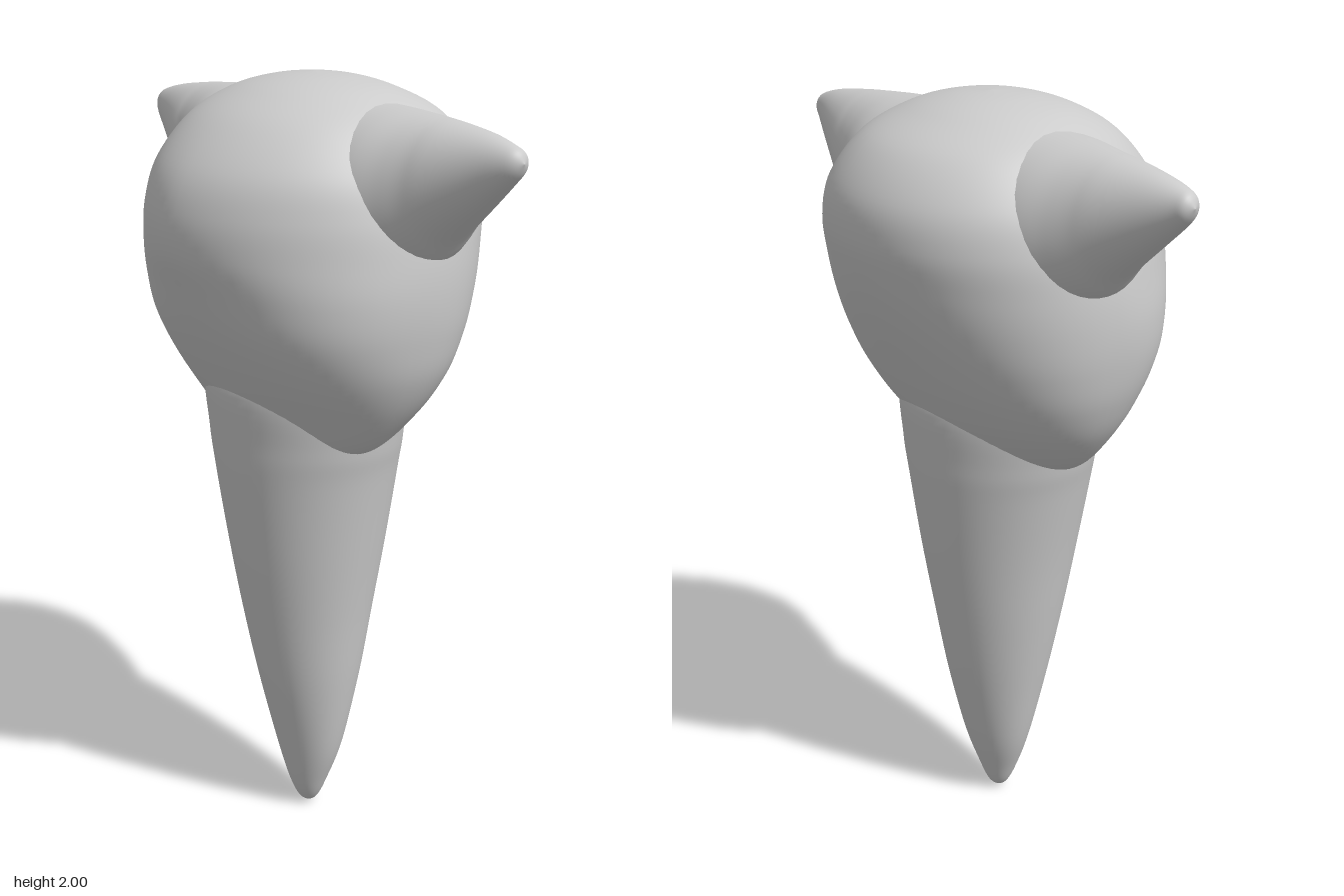
import * as THREE from 'three';

const material = new THREE.MeshStandardMaterial({ color: 0xcccccc });

// Catmull-Rom blend of whole section rows
function sample(rows, t) {
  const s = t * (rows.length - 1);
  const i = Math.min(Math.floor(s), rows.length - 2);
  const f = s - i;
  const at = (k) => rows[Math.max(0, Math.min(rows.length - 1, k))];
  const [a, b, c, d] = [at(i - 1), at(i), at(i + 1), at(i + 2)];
  return b.map((_, k) => 0.5 * (2 * b[k] + (c[k] - a[k]) * f
    + (2 * a[k] - 5 * b[k] + 4 * c[k] - d[k]) * f * f
    + (3 * b[k] - a[k] - 3 * c[k] + d[k]) * f * f * f));
}

// Skin through rounded sections: [w, uMin, uMax, vMin, vMax, back exponent, front exponent, v of widest point]
function loft(name, rows, place, { flip = false, steps = 60, sides = 48 } = {}) {
  const pos = [];
  const index = [];
  for (let j = 0; j <= steps; j++) {
    const [w, u0, u1, v0, v1, pb = 2, pf = 2, mid = (v0 + v1) / 2] = sample(rows, j / steps);
    for (let i = 0; i < sides; i++) {
      const a = (i / sides) * Math.PI * 2;
      const c = Math.cos(a);
      const s = Math.sin(a);
      const p = s > 0 ? pf : pb;
      const u = (u0 + u1) / 2 + Math.sign(c) * Math.abs(c) ** (2 / p) * (u1 - u0) / 2;
      const v = mid + Math.sign(s) * Math.abs(s) ** (2 / p) * (s > 0 ? v1 - mid : mid - v0);
      pos.push(...place(u, v, w));
      if (j === steps) continue;
      const n = (i + 1) % sides;
      const [A, B, C, D] = [j * sides + i, j * sides + n, (j + 1) * sides + i, (j + 1) * sides + n];
      if (flip) index.push(A, B, C, B, D, C);
      else index.push(A, C, B, B, C, D);
    }
  }
  const geo = new THREE.BufferGeometry();
  geo.setAttribute('position', new THREE.Float32BufferAttribute(pos, 3));
  geo.setIndex(index);
  geo.computeVertexNormals();
  const mesh = new THREE.Mesh(geo, material);
  mesh.name = name;
  return mesh;
}

export function createModel() {
  const group = new THREE.Group();
  group.name = 'hornedSpike';
  const upright = (u, v, w) => [u, w, v];

  // Head: boxy and thin at the jaw, deep and rounded at the brow
  const head = [
    [1.065, 0, 0, 0.04, 0.04, 2, 2, 0.04],
    [1.07, -0.19, 0.19, -0.04, 0.11, 2, 2, 0.04],
    [1.1, -0.28, 0.28, -0.13, 0.17, 2, 2, 0.03],
    [1.2, -0.37, 0.37, -0.215, 0.235, 2.1, 2.1, 0.01],
    [1.3, -0.42, 0.425, -0.275, 0.295, 2.2, 2.2, 0],
    [1.4, -0.445, 0.45, -0.325, 0.345, 2.2, 2.2, 0],
    [1.5, -0.455, 0.46, -0.37, 0.385, 2.1, 2.0, 0],
    [1.6, -0.45, 0.455, -0.405, 0.42, 2, 1.8, -0.01],
    [1.7, -0.43, 0.435, -0.425, 0.42, 2, 1.8, -0.02],
    [1.8, -0.39, 0.395, -0.41, 0.38, 2, 1.9, -0.03],
    [1.9, -0.315, 0.315, -0.335, 0.285, 2, 2, -0.03],
    [1.96, -0.22, 0.22, -0.22, 0.18, 2, 2, -0.02],
    [1.99, -0.11, 0.11, -0.12, 0.08, 2, 2, -0.02],
    [2, 0, 0, -0.02, -0.02, 2, 2, -0.02],
  ];
  group.add(loft('head', head, upright, { steps: 91, sides: 72 }));

  // Long tapering spike, its blunt tip a little off centre
  const spike = [
    [0, 0.025, 0.025, 0.02, 0.02],
    [0.02, -0.005, 0.055, -0.005, 0.045],
    [0.08, -0.035, 0.085, -0.03, 0.07],
    [0.2, -0.08, 0.127, -0.07, 0.1],
    [0.4, -0.125, 0.165, -0.12, 0.148],
    [0.6, -0.165, 0.193, -0.16, 0.187],
    [0.8, -0.202, 0.224, -0.195, 0.22],
    [1, -0.243, 0.256, -0.223, 0.245],
    [1.1, -0.265, 0.275, -0.232, 0.252],
    [1.24, -0.28, 0.285, -0.235, 0.255],
    [1.3, -0.22, 0.22, -0.18, 0.2],
  ];
  group.add(loft('spike', spike, upright));

  // Side horns: flat on top, swept up underneath, flared into the head
  const horn = [
    [0.22, 1.5, 1.945, -0.25, 0.18],
    [0.32, 1.53, 1.941, -0.235, 0.165],
    [0.4, 1.565, 1.936, -0.2, 0.125],
    [0.45, 1.6, 1.932, -0.178, 0.1],
    [0.5, 1.655, 1.927, -0.158, 0.08],
    [0.6, 1.74, 1.914, -0.113, 0.035],
    [0.67, 1.8, 1.898, -0.08, 0.005],
    [0.7, 1.83, 1.884, -0.065, -0.015],
    [0.713, 1.858, 1.858, -0.04, -0.04],
  ];
  for (const side of [1, -1]) {
    group.add(loft(side > 0 ? 'leftHorn' : 'rightHorn', horn,
      (u, v, w) => [side * w, u, v], { flip: side > 0, steps: 40, sides: 36 }));
  }
  return group;
}
